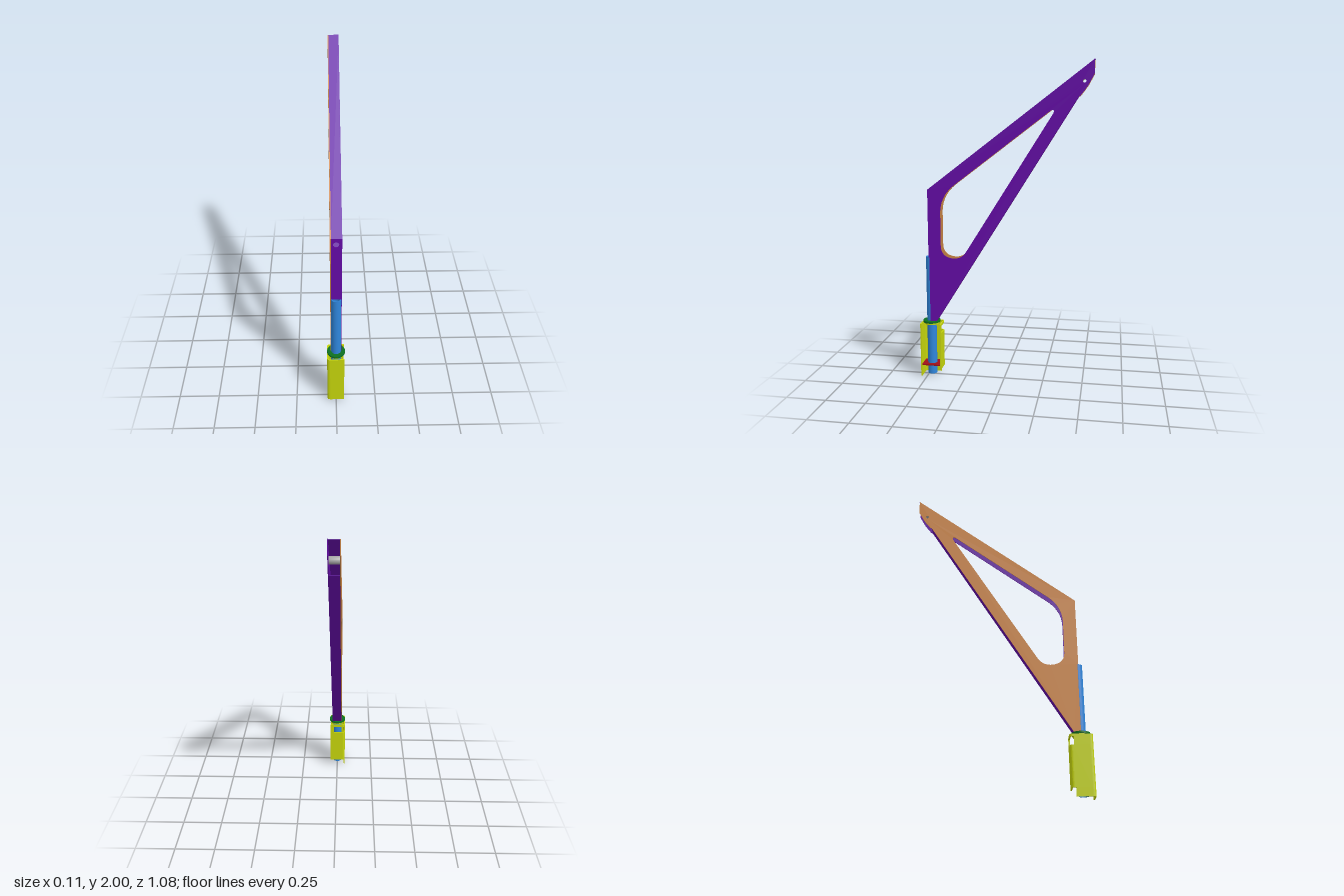
import * as THREE from 'three';

const mat = (name, color, side = THREE.FrontSide) => {
  const m = new THREE.MeshStandardMaterial({ color, side });
  m.name = name;
  return m;
};

export function createModel() {
  const root = new THREE.Group();
  root.name = 'bracketArm';
  const purple = mat('purple', 0x650ca8);
  const orange = mat('orange', 0xcf8848);
  const blue = mat('blue', 0x2f86dc, THREE.DoubleSide);
  const yellow = mat('yellow', 0xc6d60c);
  const green = mat('green', 0x0c7020);
  const red = mat('red', 0xa01018);
  const grey = mat('grey', 0xa8a8a8, THREE.DoubleSide);

  const add = (name, geo, material, parent = root) => {
    const m = new THREE.Mesh(geo, material);
    m.name = name;
    parent.add(m);
    return m;
  };

  const W = 0.033, T = 0.004;       // half width of the arm, sheet thickness
  const AXIS = 0.475;               // z of the post
  const PIN = [-0.478, 1.875];      // z, y of the tip pin

  // Side plate outline in (z, y), with window and pin hole
  const plateShape = () => {
    const s = new THREE.Shape([
      [0.475, 0.37], [0.435, 0.37], [-0.445, 1.785], [-0.455, 1.79], [-0.475, 1.815],
      [-0.5, 1.85], [-0.535, 1.915], [-0.535, 2], [0.48, 1.22], [0.48, 0.79], [0.475, 0.79],
    ].map(([z, y]) => new THREE.Vector2(-z, y)));
    const w = new THREE.Path();
    w.moveTo(-0.4, 0.87);
    w.lineTo(-0.4, 1.07);
    w.quadraticCurveTo(-0.4, 1.18, -0.31, 1.25);
    w.lineTo(0.285, 1.706);
    w.quadraticCurveTo(0.31, 1.715, 0.298, 1.688);
    w.lineTo(-0.235, 0.835);
    w.quadraticCurveTo(-0.265, 0.787, -0.315, 0.787);
    w.quadraticCurveTo(-0.4, 0.79, -0.4, 0.87);
    const hole = new THREE.Path();
    hole.absarc(-PIN[0], PIN[1], 0.01, 0, Math.PI * 2, true);
    s.holes.push(w, hole);
    return s;
  };
  const plate = (name, material, x) => {
    const g = new THREE.ExtrudeGeometry(plateShape(), { depth: T, bevelEnabled: false, curveSegments: 14 });
    g.rotateY(Math.PI / 2).translate(x, 0, 0);
    add(name, g, material);
  };
  plate('rightSidePlate', purple, W - T);
  plate('coverPlate', orange, -W);

  // Flanges closing the hollow arm: a strip between two (z, y) points, just inside the outline
  const flange = (name, [z0, y0], [z1, y1], inward) => {
    const len = Math.hypot(z1 - z0, y1 - y0);
    const g = new THREE.BoxGeometry(2 * W - T, T, len);
    g.translate(T / 2, inward * T / 2, 0);
    const m = add(name, g, purple);
    m.position.set(0, (y0 + y1) / 2, (z0 + z1) / 2);
    m.rotation.x = -Math.atan2(y1 - y0, z1 - z0);
  };
  flange('topFlange', [-0.535, 2], [0.48, 1.22], -1);
  flange('lowerFlange', [-0.445, 1.785], [0.435, 0.37], 1);

  // Front flange with a round access hole
  const front = new THREE.Shape([[-W + T, 0.79], [W, 0.79], [W, 1.22], [-W + T, 1.22]]
    .map(p => new THREE.Vector2(...p)));
  const access = new THREE.Path();
  access.absarc(0, 1.18, 0.017, 0, Math.PI * 2, true);
  front.holes.push(access);
  add('frontFlange', new THREE.ExtrudeGeometry(front, { depth: T, bevelEnabled: false })
    .translate(0, 0, 0.48 - T), purple);

  // Hollow pin at the tip
  const sleeve = add('tipPin', new THREE.LatheGeometry(
    [[0.01, -0.028], [0.02, -0.028], [0.02, 0.028], [0.01, 0.028], [0.01, -0.028]]
      .map(p => new THREE.Vector2(...p)), 20), grey);
  sleeve.rotation.z = Math.PI / 2;
  sleeve.position.set(0, PIN[1], PIN[0]);

  // Post: open tube
  const ring = (name, r0, r1, y0, y1, material) => {
    const pts = [[r0, y0], [r1, y0], [r1, y1], [r0, y1], [r0, y0]];
    const flat = [];
    // each side is its own lathe so edges stay sharp
    for (let i = 0; i < 4; i++) flat.push([pts[i], pts[i + 1]]);
    const g = new THREE.Group();
    g.name = name;
    flat.forEach((seg, i) => add(name + 'Face' + (i + 1),
      new THREE.LatheGeometry(seg.map(p => new THREE.Vector2(...p)), 32), material, g));
    g.position.z = AXIS;
    root.add(g);
  };
  ring('post', 0.025, 0.03, 0.01, 0.79, blue);
  ring('collar', 0.03, 0.055, 0.358, 0.37, green);
  ring('collarSeat', 0.03, 0.047, 0.346, 0.358, yellow);

  // Base: folded channel open to one side, built as layers of its plan
  const base = new THREE.Group();
  base.name = 'baseChannel';
  root.add(base);
  const L = -0.055, R = 0.05, F = 0.54, B = 0.405, t = 0.008, r = 0.018;
  const layer = (name, y0, y1, full) => {
    const s = new THREE.Shape();
    s.moveTo(R, -F);
    s.lineTo(R, -F + t);
    s.lineTo(L + r, -F + t);
    s.quadraticCurveTo(L + t, -F + t, L + t, -F + r);
    if (full) {
      s.lineTo(L + t, -B - r);
      s.quadraticCurveTo(L + t, -B - t, L + r, -B - t);
      s.lineTo(R, -B - t);
      s.lineTo(R, -B);
      s.lineTo(L + r, -B);
      s.quadraticCurveTo(L, -B, L, -B - r);
    } else {
      s.lineTo(L + t, -0.43);
      s.lineTo(L, -0.43);
    }
    s.lineTo(L, -F + r);
    s.quadraticCurveTo(L, -F, L + r, -F);
    s.closePath();
    const g = new THREE.ExtrudeGeometry(s, { depth: y1 - y0, bevelEnabled: false, curveSegments: 6 });
    g.rotateX(-Math.PI / 2).translate(0, y0, 0);
    add(name, g, yellow, base);
  };
  layer('baseFoot', 0, 0.05, false);
  layer('baseBody', 0.05, 0.29, true);
  layer('baseNotch', 0.29, 0.338, false);
  layer('baseRim', 0.338, 0.353, true);
  add('baseNotchPost', new THREE.BoxGeometry(0.025, 0.048, t)
    .translate(R - 0.0125, 0.314, B + t / 2), yellow, base);

  // Plate that holds the post inside the base
  const hold = new THREE.Shape([[L + t, -F + t], [R, -F + t], [R, -B - t], [L + t, -B - t]]
    .map(p => new THREE.Vector2(...p)));
  const bore = new THREE.Path();
  bore.absarc(0, -AXIS, 0.03, 0, Math.PI * 2, true);
  hold.holes.push(bore);
  add('supportPlate', new THREE.ExtrudeGeometry(hold, { depth: 0.008, bevelEnabled: false })
    .rotateX(-Math.PI / 2).translate(0, 0.073, 0), red);

  return root;
}
